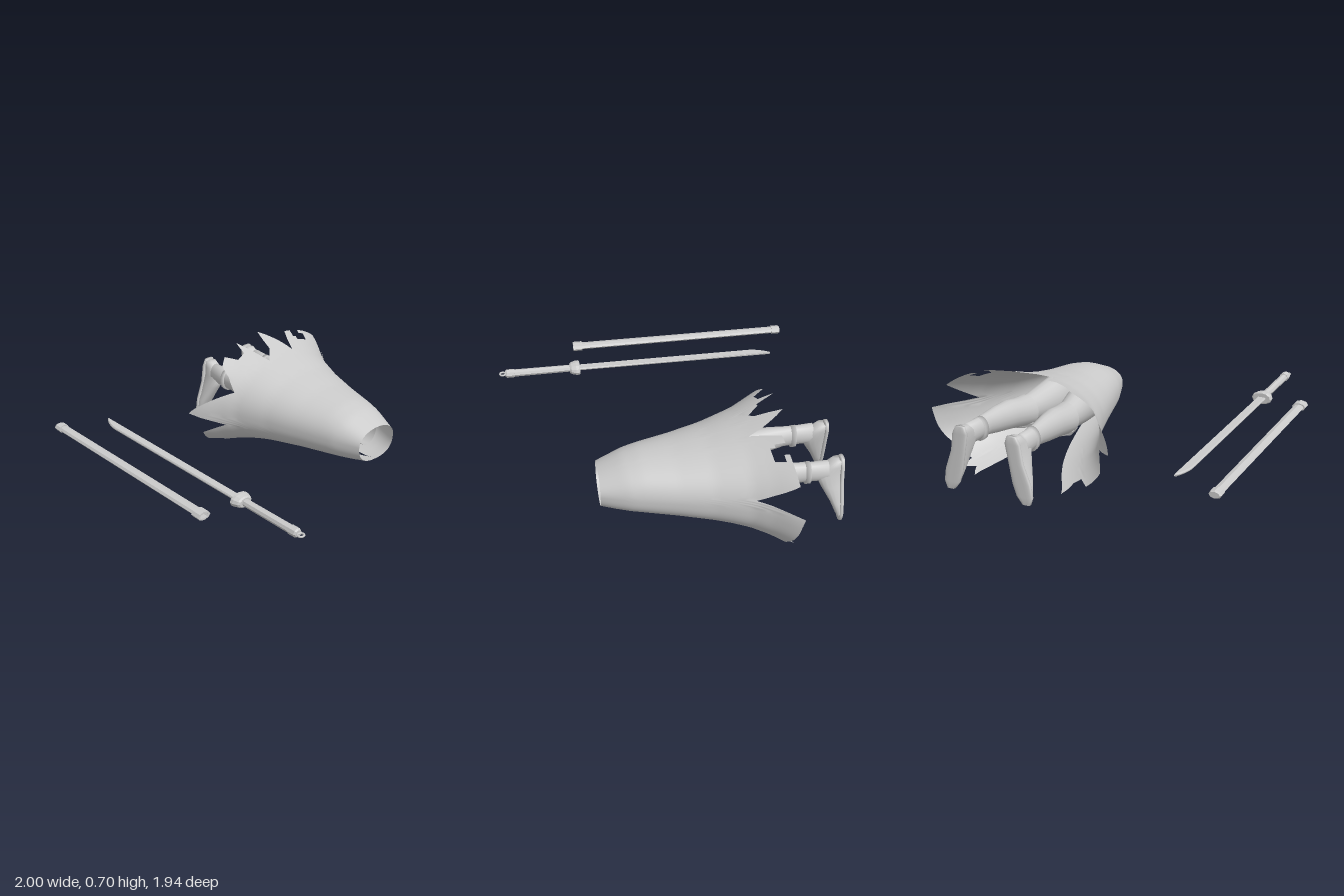
import * as THREE from 'three';

const smooth = new THREE.MeshStandardMaterial({ color: 0xcccccc, side: THREE.DoubleSide });
const faceted = new THREE.MeshStandardMaterial({ color: 0xcccccc, side: THREE.DoubleSide, flatShading: true });

// Linear lookup in a list of [key, value] pairs with rising keys
function lookup(table, k) {
  if (k <= table[0][0]) return table[0][1];
  for (let i = 1; i < table.length; i++) {
    const [k0, v0] = table[i - 1], [k1, v1] = table[i];
    if (k <= k1) return v0 + (v1 - v0) * (k - k0) / (k1 - k0);
  }
  return table[table.length - 1][1];
}

const power = (v, e) => Math.sign(v) * Math.pow(Math.abs(v), e);

function surface(pos, index) {
  const g = new THREE.BufferGeometry();
  g.setAttribute('position', new THREE.Float32BufferAttribute(pos, 3));
  g.setIndex(index);
  g.computeVertexNormals();
  return g;
}

// Skin over oval rings [x, y, z, rx, ry], listed from high z to low z
function loft(name, rings, { sides = 18, front = true, back = true, mat = smooth, e = 1 } = {}) {
  const pos = [], index = [];
  for (const [x, y, z, rx, ry] of rings) {
    for (let j = 0; j < sides; j++) {
      const a = j / sides * Math.PI * 2;
      pos.push(x + rx * power(Math.cos(a), e), y + ry * power(Math.sin(a), e), z);
    }
  }
  const n = rings.length;
  for (let i = 0; i < n - 1; i++) {
    for (let j = 0; j < sides; j++) {
      const k = (j + 1) % sides;
      const a = i * sides + j, b = i * sides + k, c = a + sides, d = b + sides;
      index.push(a, c, b, b, c, d);
    }
  }
  const cap = (i, flip) => {
    const c = pos.length / 3;
    pos.push(...rings[i].slice(0, 3));
    for (let j = 0; j < sides; j++) {
      const a = i * sides + j, b = i * sides + (j + 1) % sides;
      index.push(c, flip ? b : a, flip ? a : b);
    }
  };
  if (front) cap(0, false);
  if (back) cap(n - 1, true);
  const mesh = new THREE.Mesh(surface(pos, index), mat);
  mesh.name = name;
  return mesh;
}

// Torn coat skirt: flaring sections along z, slit along the underside, ragged hem
function coatSkirt() {
  const CX = 0.41, CY = 0.33, WAIST = 0.44;
  const halfWidth = [[-0.66, 0.61], [-0.6, 0.565], [-0.5, 0.48], [-0.4, 0.415], [-0.2, 0.34], [0, 0.285], [0.27, 0.215], [0.44, 0.15]];
  const top = [[-0.66, 0.73], [-0.4, 0.635], [-0.2, 0.575], [0, 0.535], [0.2, 0.51], [0.3, 0.485], [0.44, 0.425]];
  const bottom = [[-0.66, 0], [-0.5, 0.055], [-0.3, 0.11], [0, 0.155], [0.36, 0.195], [0.44, 0.21]];
  const spread = [[-0.62, 1], [0.38, 180 / 156]];
  const hem = [[-66, -0.66], [-60, -0.6], [-53, -0.65], [-50, -0.57], [-25, -0.58], [10, -0.645], [18, -0.41],
    [35, -0.63], [72, -0.59], [78, -0.42], [82, -0.5], [91, -0.64], [95, -0.48], [105, -0.4], [109, -0.63],
    [113, -0.54], [121, -0.53], [124, -0.6], [132, -0.57], [140, -0.5], [152, -0.43], [181, -0.645], [190, -0.46],
    [205, -0.6], [225, -0.63], [228, -0.56], [236, -0.58], [246, -0.66]];
  const angles = [];
  for (let i = 0; i < hem.length - 1; i++) {
    const [a0, a1] = [hem[i][0], hem[i + 1][0]];
    const n = Math.ceil((a1 - a0) / 3);
    for (let k = 0; k < n; k++) angles.push(a0 + (a1 - a0) * k / n);
  }
  angles.push(246);
  const rows = 36, pos = [], index = [];
  for (const h of angles) {
    const end = lookup(hem, h);
    for (let r = 0; r <= rows; r++) {
      const z = WAIST + (end - WAIST) * r / rows;
      const a = (90 + (h - 90) * lookup(spread, z)) * Math.PI / 180;
      const s = Math.sin(a);
      const reach = s > 0 ? lookup(top, z) - CY : CY - lookup(bottom, z);
      const e = s > 0 ? 0.95 : 0.8;
      pos.push(CX + lookup(halfWidth, z) * power(Math.cos(a), e), CY + reach * power(s, e), z);
    }
  }
  for (let c = 0; c < angles.length - 1; c++) {
    for (let r = 0; r < rows; r++) {
      const a = c * (rows + 1) + r, b = a + rows + 1;
      // small torn hole near the hem
      const hx = (pos[a * 3] + pos[b * 3]) / 2 - 0.68, hz = pos[a * 3 + 2] + 0.545;
      if (pos[a * 3 + 1] > 0.45 && (hx / 0.06) ** 2 + (hz / 0.035) ** 2 < 1) continue;
      index.push(a, a + 1, b, b, a + 1, b + 1);
    }
  }
  const mesh = new THREE.Mesh(surface(pos, index), smooth);
  mesh.name = 'coatSkirt';
  return mesh;
}

// One leg with trouser, tall boot, knee guard and foot; s is the side
function leg(s) {
  const g = new THREE.Group();
  g.name = s > 0 ? 'leftLeg' : 'rightLeg';
  const at = (rings) => rings.map(([x, ...rest]) => [0.41 + s * x, ...rest]);
  g.add(loft('trouserLeg', at([
    [0.07, 0.325, 0.3, 0.08, 0.1], [0.085, 0.34, 0.18, 0.095, 0.135], [0.095, 0.35, 0.05, 0.1, 0.14],
    [0.115, 0.345, -0.1, 0.095, 0.115], [0.135, 0.345, -0.25, 0.08, 0.09], [0.145, 0.35, -0.36, 0.072, 0.08]]),
    { front: false, back: false }));
  g.add(loft('bootShaft', at([
    [0.14, 0.345, -0.3, 0.088, 0.098], [0.147, 0.355, -0.38, 0.085, 0.092], [0.155, 0.375, -0.48, 0.078, 0.09],
    [0.165, 0.385, -0.6, 0.062, 0.08], [0.172, 0.392, -0.7, 0.048, 0.066], [0.175, 0.392, -0.78, 0.045, 0.064],
    [0.178, 0.395, -0.88, 0.046, 0.066]]), { front: false }));
  g.add(loft('kneeGuard', at([
    [0.135, 0.275, -0.2, 0.012, 0.015], [0.138, 0.27, -0.26, 0.055, 0.035],
    [0.142, 0.275, -0.33, 0.06, 0.04], [0.15, 0.295, -0.42, 0.03, 0.03]]), { sides: 8, mat: faceted }));
  g.add(loft('ankleStrap', at([[0.172, 0.386, -0.745, 0.053, 0.073], [0.174, 0.386, -0.775, 0.053, 0.073]])));

  // foot and sole run from heel to toe along -y, turned outward
  const foot = new THREE.Group();
  foot.name = 'foot';
  foot.rotation.x = -Math.PI / 2;
  foot.add(loft('bootFoot', at([
    [0.17, 0.938, 0.465, 0.033, 0.034], [0.172, 0.915, 0.43, 0.044, 0.056], [0.178, 0.89, 0.375, 0.046, 0.082],
    [0.195, 0.906, 0.305, 0.046, 0.066], [0.222, 0.935, 0.2, 0.052, 0.037], [0.24, 0.952, 0.125, 0.045, 0.022],
    [0.25, 0.96, 0.09, 0.024, 0.012]]), { e: 0.85 }));
  foot.add(loft('sole', at([
    [0.168, 0.961, 0.473, 0.03, 0.014], [0.172, 0.961, 0.43, 0.048, 0.014], [0.19, 0.961, 0.32, 0.046, 0.014],
    [0.222, 0.961, 0.2, 0.058, 0.014], [0.24, 0.961, 0.125, 0.052, 0.014], [0.25, 0.961, 0.08, 0.026, 0.014]]),
    { e: 0.6 }));
  g.add(foot);
  return g;
}

function sword() {
  const g = new THREE.Group();
  g.name = 'sword';
  const X = -0.7, Y = 0.375, opts = { sides: 8, mat: faceted };
  // blade outline with a swept tip
  const shape = new THREE.Shape();
  shape.moveTo(-0.021, -0.46);
  shape.lineTo(0.021, -0.46);
  shape.lineTo(0.023, 0.83);
  shape.quadraticCurveTo(-0.015, 0.77, -0.021, 0.7);
  const blade = new THREE.Mesh(new THREE.ExtrudeGeometry(shape, {
    depth: 0.004, bevelThickness: 0.007, bevelSize: 0.005, bevelSegments: 1, curveSegments: 6 }), faceted);
  blade.name = 'blade';
  blade.rotation.x = -Math.PI / 2;
  blade.position.set(X, Y - 0.002, 0);
  g.add(blade);
  g.add(loft('guard', [[X, Y, 0.505, 0.04, 0.028], [X, Y, 0.495, 0.052, 0.034], [X, Y, 0.465, 0.063, 0.04],
    [X, Y, 0.447, 0.064, 0.04], [X, Y, 0.44, 0.055, 0.034]], { sides: 12, mat: faceted }));
  g.add(loft('grip', [[X, Y, 0.9, 0.026, 0.023], [X, Y, 0.5, 0.024, 0.022]], opts));
  g.add(loft('pommel', [[X, Y, 0.925, 0.023, 0.02], [X, Y, 0.915, 0.029, 0.027], [X, Y, 0.865, 0.029, 0.027]], opts));
  const ring = new THREE.Mesh(new THREE.TorusGeometry(0.018, 0.006, 8, 18), smooth);
  ring.name = 'pommelRing';
  ring.rotation.x = Math.PI / 2;
  ring.position.set(X, Y, 0.943);
  g.add(ring);
  return g;
}

function scabbard() {
  const g = new THREE.Group();
  g.name = 'scabbard';
  const X = -0.953, Y = 0.375;
  const open = { sides: 8, mat: faceted, front: false, back: false };
  g.add(loft('sheath', [[X, Y, 0.45, 0.033, 0.018], [X, Y, -0.94, 0.031, 0.018]], open));
  g.add(loft('mouthBand', [[X, Y, 0.4, 0.033, 0.018], [X, Y, 0.46, 0.03, 0.015], [X, Y, 0.46, 0.042, 0.025],
    [X, Y, 0.4, 0.042, 0.025], [X, Y, 0.4, 0.033, 0.018]], open));
  g.add(loft('endCap', [[X, Y, -0.905, 0.036, 0.024], [X, Y, -0.95, 0.036, 0.024], [X, Y, -0.962, 0.03, 0.018]],
    { sides: 8, mat: faceted }));
  return g;
}

export function createModel() {
  const model = new THREE.Group();
  model.name = 'coatLegsAndSword';
  model.add(coatSkirt(), leg(1), leg(-1), sword(), scabbard());
  return model;
}
